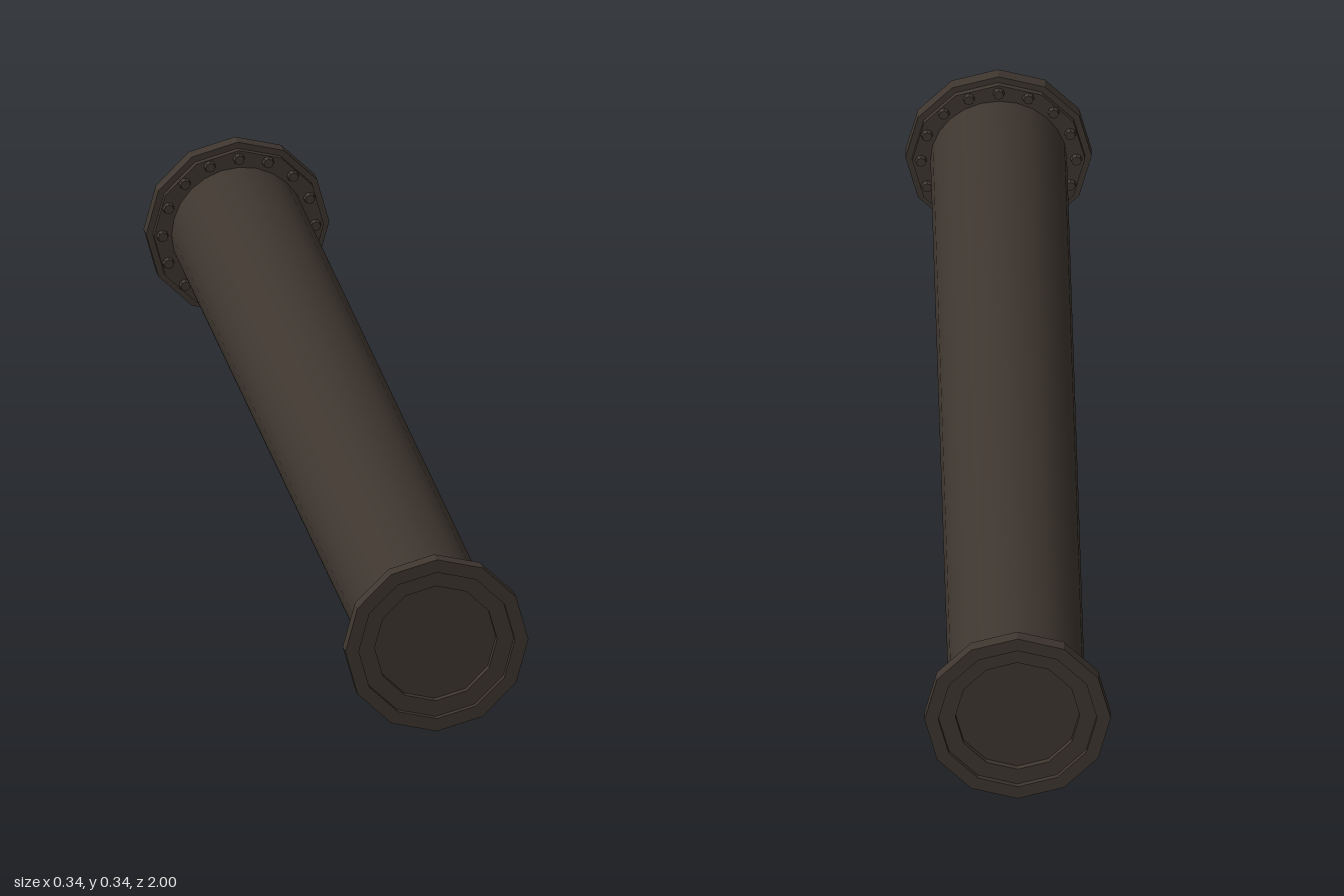
import * as THREE from 'three';

const AXIS_Y = 0.169;

function flat(geometry) {
  const g = geometry.toNonIndexed();
  g.computeVertexNormals();
  return g;
}

export function createModel() {
  const model = new THREE.Group();
  model.name = 'flangedPipe';
  const iron = new THREE.MeshStandardMaterial({ color: 0x3e362f });
  iron.name = 'darkIron';

  const add = (parent, name, geometry) => {
    const mesh = new THREE.Mesh(geometry, iron);
    mesh.name = name;
    parent.add(mesh);
    return mesh;
  };

  // Smooth main tube along z
  const tube = new THREE.CylinderGeometry(0.124, 0.124, 1.94, 24, 1, true);
  tube.rotateX(Math.PI / 2);
  add(model, 'tube', tube).position.y = AXIS_Y;

  // Twelve-sided flange: stepped back, rim and recessed end face
  const profile = [
    [0.115, 0.963], [0.157, 0.963], [0.157, 0.974], [0.169, 0.974], [0.169, 1],
    [0.144, 1], [0.144, 0.99], [0.113, 0.99], [0.113, 0.978], [0, 0.978],
  ].map(([r, y]) => new THREE.Vector2(r, y));
  const flangeGeometry = flat(new THREE.LatheGeometry(profile, 12));
  flangeGeometry.rotateX(Math.PI / 2);

  // Bolt head, slightly tapered towards the tube
  const boltGeometry = flat(new THREE.CylinderGeometry(0.012, 0.009, 0.012, 8));
  boltGeometry.rotateX(Math.PI / 2);

  const boltCount = 16;
  for (const [name, turn] of [['front', 0], ['back', Math.PI]]) {
    const end = new THREE.Group();
    end.name = name + 'End';
    end.position.y = AXIS_Y;
    end.rotation.y = turn;
    add(end, name + 'Flange', flangeGeometry);
    for (let i = 0; i < boltCount; i++) {
      const a = (i / boltCount) * Math.PI * 2;
      add(end, name + 'Bolt', boltGeometry)
        .position.set(Math.sin(a) * 0.141, Math.cos(a) * 0.141, 0.961);
    }
    model.add(end);
  }
  return model;
}
